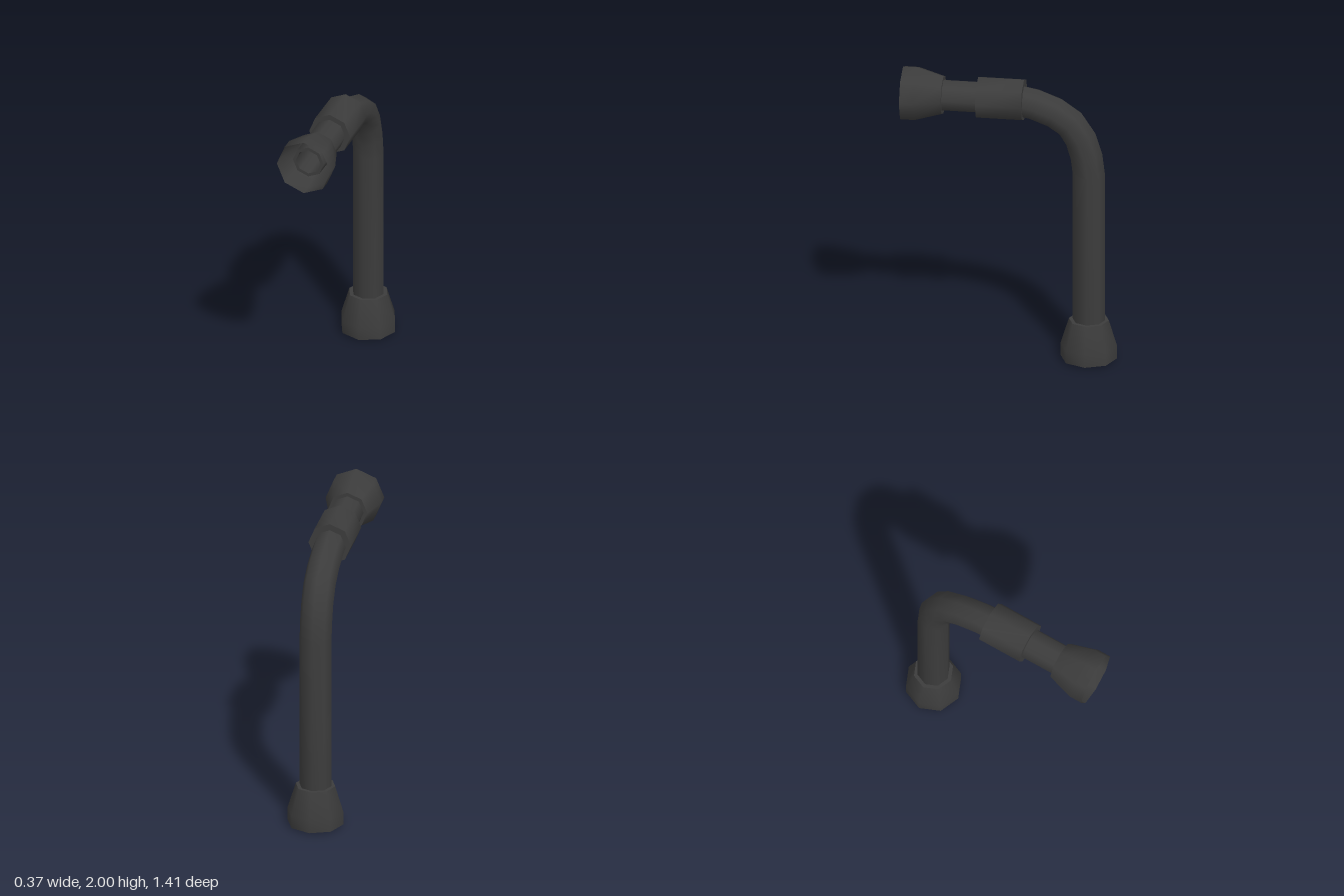
import * as THREE from 'three';
import { toCreasedNormals } from 'three/addons/utils/BufferGeometryUtils.js';

const SIDES = 8;
const AXIS_Y = 1.813;
const AXIS_Z = -0.52;

const material = new THREE.MeshStandardMaterial({ color: 0x3c3c3c, side: THREE.DoubleSide });

function part(name, geometry) {
  const mesh = new THREE.Mesh(toCreasedNormals(geometry, Math.PI / 3), material);
  mesh.name = name;
  return mesh;
}

// Eight-sided turned part, profile given as [radius, height] from bottom to top
function turned(profile) {
  return new THREE.LatheGeometry(profile.map(([r, y]) => new THREE.Vector2(r, y)), SIDES);
}

// Hollow tube along a path of [y, z] points: outer wall, then back along the bore
function hollowTube(path, outer, inner) {
  const ring = (i, r) => {
    const a = path[Math.max(i - 1, 0)], b = path[Math.min(i + 1, path.length - 1)];
    const length = Math.hypot(b[0] - a[0], b[1] - a[1]);
    const ty = (b[0] - a[0]) / length, tz = (b[1] - a[1]) / length;
    const points = [];
    for (let j = 0; j < SIDES; j++) {
      const t = (j / SIDES) * Math.PI * 2, s = r * Math.sin(t);
      points.push(r * Math.cos(t), path[i][0] + s * tz, path[i][1] - s * ty);
    }
    return points;
  };
  const rings = path.map((_, i) => ring(i, outer));
  for (let i = path.length - 1; i >= 0; i--) rings.push(ring(i, inner));

  const index = [];
  for (let i = 0; i < rings.length; i++) {
    const next = (i + 1) % rings.length;
    for (let j = 0; j < SIDES; j++) {
      const k = (j + 1) % SIDES;
      const a = i * SIDES + j, b = i * SIDES + k, c = next * SIDES + j, d = next * SIDES + k;
      index.push(a, b, c, b, d, c);
    }
  }
  const geometry = new THREE.BufferGeometry();
  geometry.setAttribute('position', new THREE.Float32BufferAttribute(rings.flat(), 3));
  geometry.setIndex(index);
  return geometry;
}

export function createModel() {
  const model = new THREE.Group();
  model.name = 'bentPipe';

  // Bent hollow pipe from the foot to inside the front bell
  model.add(part('pipe', hollowTube([
    [0, AXIS_Z], [1.31, AXIS_Z], [1.436, -0.504], [1.558, -0.466], [1.664, -0.397],
    [1.735, -0.294], [1.786, -0.16], [AXIS_Y, -0.02], [AXIS_Y, 0.62],
  ], 0.107, 0.085)));

  // Sleeve around the horizontal run
  const sleeve = part('sleeve', turned([[0.1, -0.152], [0.143, -0.152], [0.143, 0.152], [0.1, 0.152]]));
  sleeve.rotation.x = -Math.PI / 2;
  sleeve.position.set(0, AXIS_Y, 0.06);
  model.add(sleeve);

  // Flared collars: closed underneath at the foot, open at the front
  const flare = [[0.187, 0], [0.187, 0.088], [0.132, 0.267], [0.1, 0.267]];
  const foot = part('footCollar', turned([[0.1, 0], ...flare]));
  foot.position.set(0, 0.01, AXIS_Z);
  model.add(foot);

  const bell = part('frontBell', turned(flare));
  bell.rotation.x = -Math.PI / 2;
  bell.position.set(0, AXIS_Y, 0.708);
  model.add(bell);

  return model;
}
